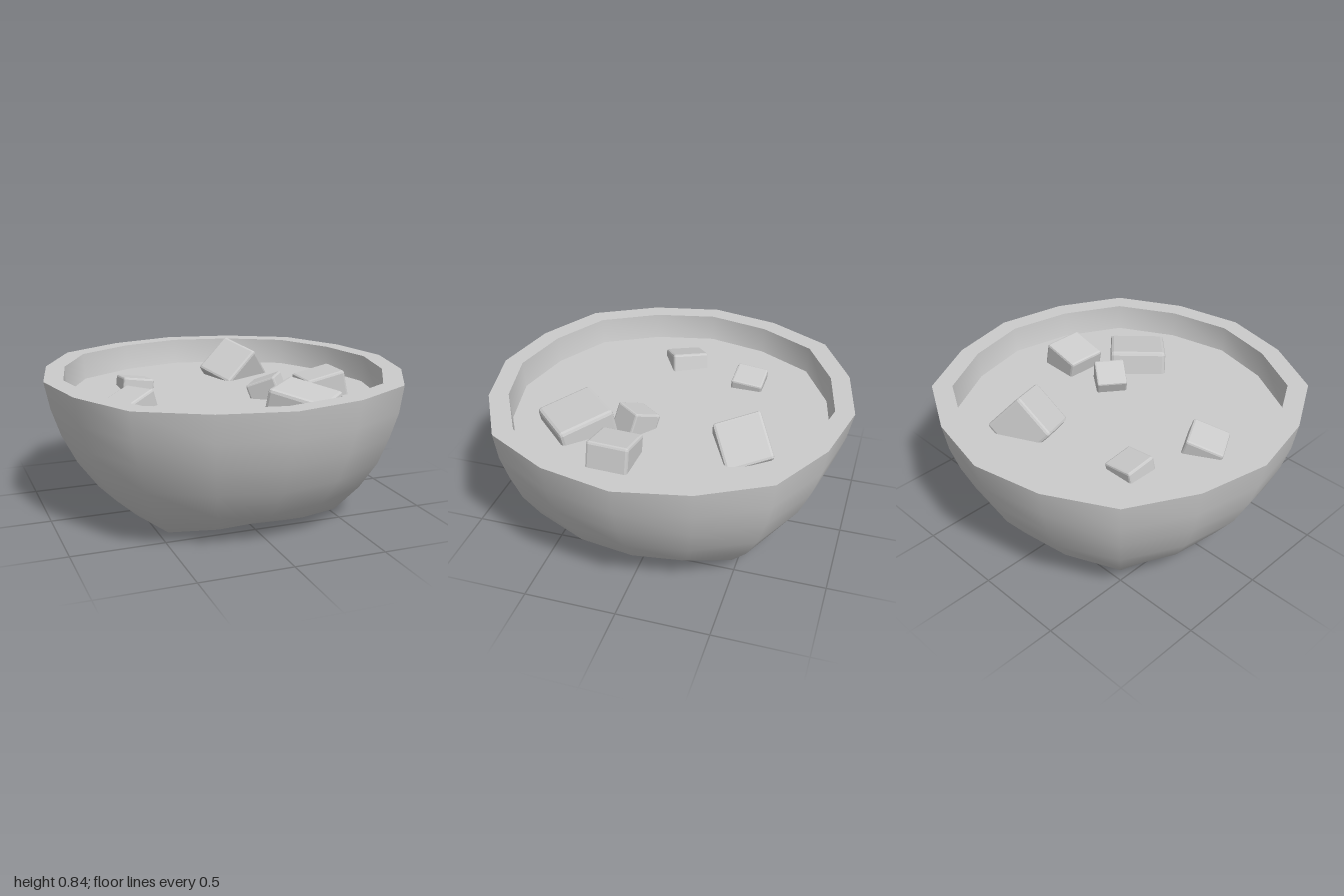
import * as THREE from 'three';
import { RoundedBoxGeometry } from 'three/addons/geometries/RoundedBoxGeometry.js';

const SIDES = 16;
const material = new THREE.MeshStandardMaterial({ color: 0xcccccc });
const flatMaterial = new THREE.MeshStandardMaterial({ color: 0xcccccc, flatShading: true });

// Skins a stack of rings [radius, height, squareness, lift at the diagonals].
function loft(name, rings) {
  const positions = [], index = [];
  rings.forEach(([r, y, square = 0, lift = 0], j) => {
    for (let i = 0; i < SIDES; i++) {
      const a = (i / SIDES) * Math.PI * 2;
      const diagonal = Math.sin(2 * a) ** 2;
      const dip = 0.02 * Math.sin(4 * a) ** 2; // every second corner sits slightly inward
      const radius = r * (1 + square * diagonal - dip);
      positions.push(radius * Math.cos(a), y + lift * diagonal, radius * Math.sin(a));
      if (j === rings.length - 1) continue;
      const p = j * SIDES + i, q = j * SIDES + (i + 1) % SIDES;
      index.push(p, q, p + SIDES, q, q + SIDES, p + SIDES);
    }
  });
  const geometry = new THREE.BufferGeometry();
  geometry.setAttribute('position', new THREE.Float32BufferAttribute(positions, 3));
  geometry.setIndex(index);
  geometry.computeVertexNormals();
  const mesh = new THREE.Mesh(geometry, material);
  mesh.name = name;
  return mesh;
}

// Bevelled cube whose top face is centred on (x, y, z); angles in degrees from +x toward +z.
function chunk({ x, y, z, size, heading, tilt, toward }) {
  const rad = THREE.MathUtils.degToRad;
  const t = rad(tilt), d = rad(toward), h = rad(heading);
  const up = new THREE.Vector3(Math.sin(t) * Math.cos(d), Math.cos(t), Math.sin(t) * Math.sin(d));
  const edge = new THREE.Vector3(Math.cos(h), 0, Math.sin(h)).projectOnPlane(up).normalize();
  const side = new THREE.Vector3().crossVectors(edge, up);
  const mesh = new THREE.Mesh(new RoundedBoxGeometry(size, size, size, 1, size * 0.06), flatMaterial);
  mesh.quaternion.setFromRotationMatrix(new THREE.Matrix4().makeBasis(edge, up, side));
  mesh.position.set(x, y, z).addScaledVector(up, -size / 2);
  mesh.name = 'foodChunk';
  return mesh;
}

export function createModel() {
  const group = new THREE.Group();
  group.name = 'bowlOfStew';

  // Outer wall, round at the rim and squarer toward the flat base
  group.add(loft('bowlOuter', [
    [1, 0.78, 0.03], [0.97, 0.63, 0.04], [0.92, 0.48, 0.05, 0.01],
    [0.84, 0.32, 0.08, 0.02], [0.727, 0.165, 0.12, 0.03], [0.6, 0.085, 0.13, -0.04],
    [0.43, 0.005, 0.28], [0, 0],
  ]));

  // Flat rim
  group.add(loft('bowlRim', [[0.895, 0.78, 0.025], [1, 0.78, 0.03]]));

  // Inner wall
  group.add(loft('bowlInner', [
    [0, 0.1], [0.39, 0.1, 0.27], [0.64, 0.24, 0.12, 0.03],
    [0.82, 0.48, 0.05, 0.01], [0.885, 0.63, 0.025], [0.895, 0.78, 0.025],
  ]));

  // Liquid surface
  group.add(loft('stewSurface', [[0, 0.63], [0.887, 0.63, 0.025]]));

  // Floating chunks
  [
    { x: -0.41, y: 0.685, z: -0.35, size: 0.18, heading: 0, tilt: 10, toward: -35 },
    { x: -0.575, y: 0.69, z: 0.08, size: 0.21, heading: -29, tilt: 17, toward: 160 },
    { x: 0.195, y: 0.73, z: 0.12, size: 0.17, heading: 37, tilt: 22, toward: 217 },
    { x: 0.52, y: 0.745, z: 0.145, size: 0.23, heading: 2, tilt: 12, toward: 185 },
    { x: 0.305, y: 0.73, z: 0.455, size: 0.32, heading: 45, tilt: 11, toward: 50 },
    { x: 0.177, y: 0.739, z: -0.402, size: 0.26, heading: 154, tilt: 44, toward: 140 },
  ].forEach((spec) => group.add(chunk(spec)));

  return group;
}
